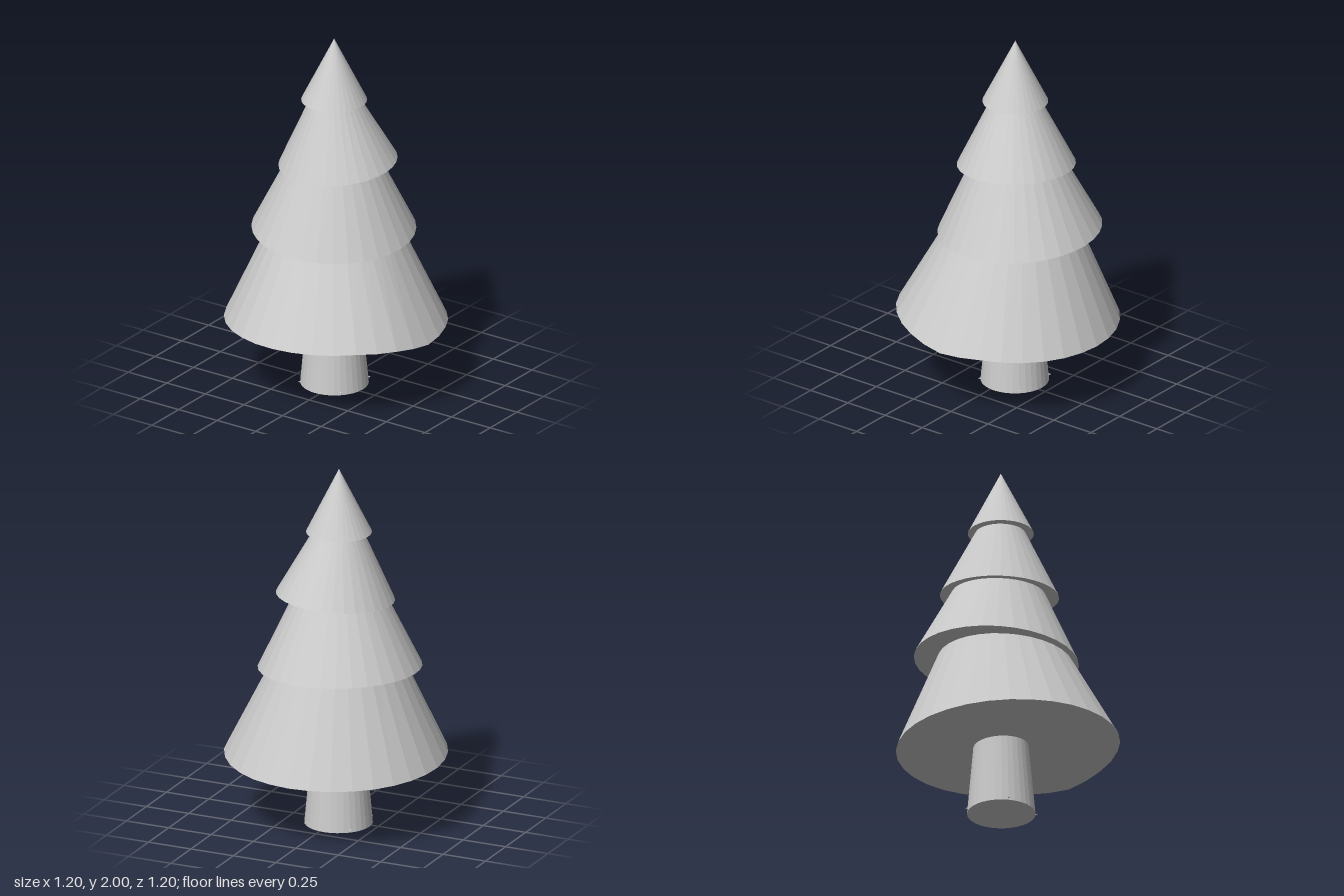
import * as THREE from 'three';

const SIDES = 32;
const material = new THREE.MeshStandardMaterial({ color: 0xcccccc, flatShading: true });

// Lowest hem: height at every 22.5 degrees, from the front round through +x
const HEM = [0.425, 0.43, 0.432, 0.413, 0.382, 0.391, 0.38, 0.373,
  0.37, 0.37, 0.372, 0.378, 0.385, 0.395, 0.405, 0.417];

function wavyHem(x, z) {
  const a = (Math.atan2(x, z) / (Math.PI * 2) + 1) % 1 * HEM.length;
  const i = Math.floor(a);
  const next = HEM[(i + 1) % HEM.length];
  return THREE.MathUtils.lerp(HEM[i % HEM.length], next, a - i);
}

// Hem tilted like a plane: centre height plus slopes along x and z
const tiltedHem = (y, sx = 0, sz = 0) => (x, z) => y + sx * x + sz * z;

// Closed frustum whose two rings have their own centres; the lower ring follows hem(x, z)
function frustum(name, bottom, top, hem) {
  const geometry = new THREE.CylinderGeometry(top.r, bottom.r, 1, SIDES);
  const p = geometry.attributes.position;
  for (let i = 0; i < p.count; i++) {
    const x = p.getX(i), z = p.getZ(i);
    if (p.getY(i) > 0) {
      p.setXYZ(i, x + top.x, top.y, z + top.z);
    } else {
      const atCentre = Math.hypot(x, z) < 1e-6;
      const y = atCentre && bottom.y !== undefined ? bottom.y : hem(x, z);
      p.setXYZ(i, x + bottom.x, y, z + bottom.z);
    }
  }
  geometry.computeVertexNormals();
  const mesh = new THREE.Mesh(geometry, material);
  mesh.name = name;
  return mesh;
}

export function createModel() {
  const tree = new THREE.Group();
  tree.name = 'tree';

  // Tapered trunk
  tree.add(frustum('trunk',
    { x: -0.027, z: -0.025, r: 0.183 },
    { x: -0.03, z: -0.025, r: 0.138, y: 0.5 }, tiltedHem(0)));

  // Tiny root nubs on the diagonals of the trunk foot
  for (let i = 0; i < 4; i++) {
    const a = Math.PI / 4 + i * Math.PI / 2;
    const out = new THREE.Vector3(Math.sin(a), 0, Math.cos(a));
    const nub = new THREE.Mesh(new THREE.ConeGeometry(0.014, 0.035, 4), material);
    nub.name = 'rootNub';
    nub.quaternion.setFromUnitVectors(new THREE.Vector3(0, 1, 0), out);
    nub.position.set(-0.027 + out.x * 0.18, 0.014, -0.025 + out.z * 0.18);
    tree.add(nub);
  }

  // Four overlapping tiers of branches, bottom to top
  tree.add(frustum('lowestTier',
    { x: 0, z: 0, r: 0.598, y: 0.39 },
    { x: -0.025, z: -0.022, r: 0.308, y: 1.0 }, wavyHem));
  tree.add(frustum('lowerTier',
    { x: -0.045, z: -0.045, r: 0.44 },
    { x: -0.038, z: -0.035, r: 0.217, y: 1.35 }, tiltedHem(0.895, -0.04, -0.045)));
  tree.add(frustum('upperTier',
    { x: -0.017, z: -0.043, r: 0.318 },
    { x: -0.03, z: -0.027, r: 0.107, y: 1.7 }, tiltedHem(1.285, 0.047, -0.063)));
  tree.add(frustum('topTier',
    { x: -0.03, z: -0.026, r: 0.176 },
    { x: -0.03, z: -0.026, r: 0, y: 2 }, tiltedHem(1.645)));

  return tree;
}
